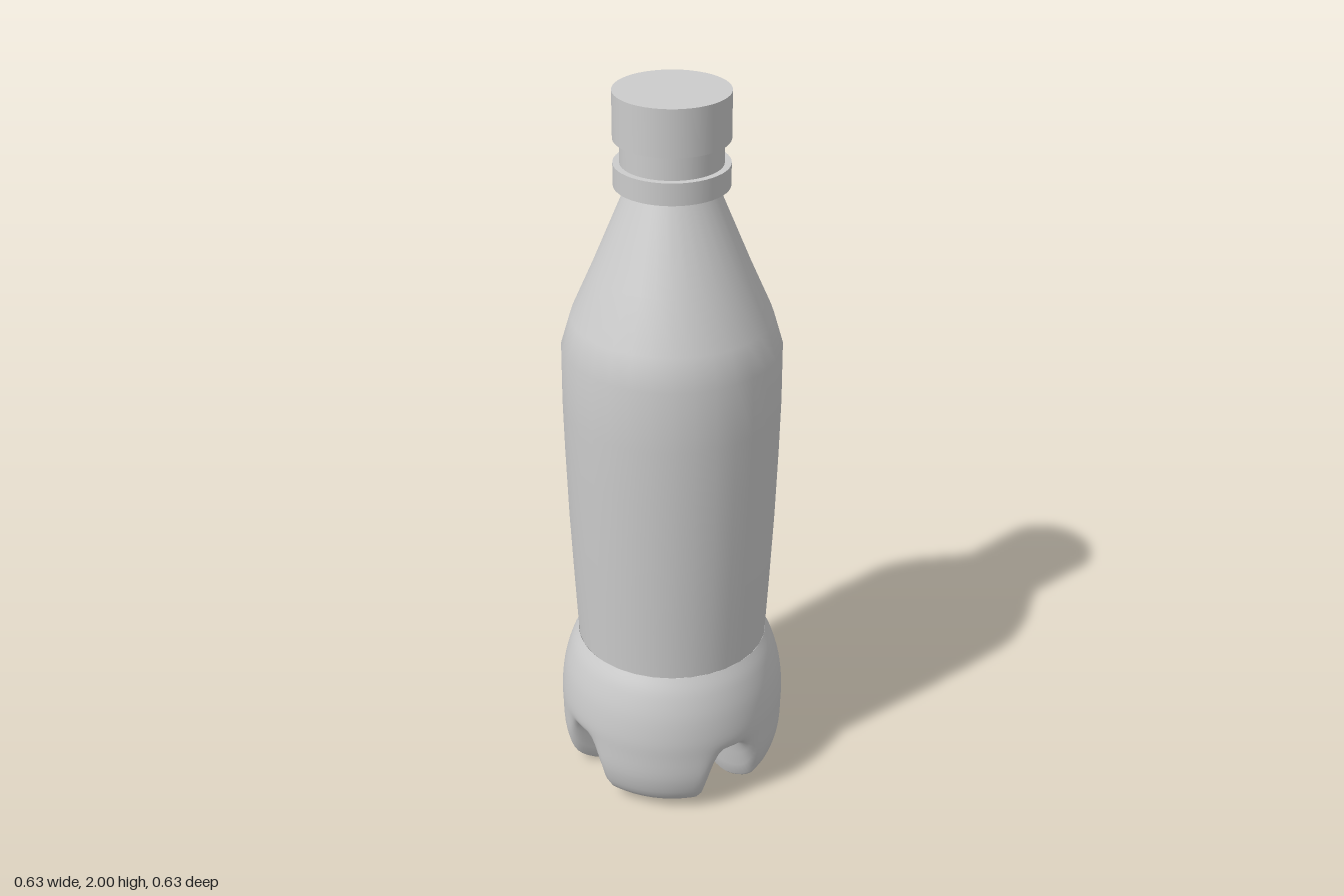
import * as THREE from 'three';

const material = new THREE.MeshStandardMaterial({ color: 0xcccccc, side: THREE.DoubleSide });
const vec = ([x, y]) => new THREE.Vector2(x, y);

function turned(name, profile, segments = 32) {
  const mesh = new THREE.Mesh(new THREE.LatheGeometry(profile.map(vec), segments), material);
  mesh.name = name;
  return mesh;
}

// Straight-sided ring or disc, closed at both ends
function band(name, radius, bottom, top) {
  const mesh = new THREE.Mesh(new THREE.CylinderGeometry(radius, radius, top - bottom, 48), material);
  mesh.position.y = (bottom + top) / 2;
  mesh.name = name;
  return mesh;
}

// Four-footed base: the profile swings between a foot section and a groove section
function footedBase() {
  const foot = [[0.262, 0.44], [0.284, 0.395], [0.303, 0.33], [0.312, 0.26], [0.312, 0.2], [0.306, 0.11],
    [0.275, 0.035], [0.2, 0.002], [0.135, 0.03], [0.07, 0.09], [0, 0.12]].map(vec);
  const groove = [[0.262, 0.44], [0.284, 0.395], [0.303, 0.33], [0.312, 0.26], [0.309, 0.215], [0.29, 0.198],
    [0.25, 0.198], [0.2, 0.195], [0.13, 0.175], [0.07, 0.145], [0, 0.12]].map(vec);
  const around = 128, rows = 44;
  const positions = [], index = [];
  const columns = [];
  for (let j = 0; j < around; j++) {
    const angle = (j / around) * Math.PI * 2;
    // angular distance from the nearest diagonal, where the grooves run
    const quarter = Math.PI / 2;
    const offset = Math.abs((angle % quarter) - quarter / 2);
    const blend = 1 - THREE.MathUtils.smoothstep(offset, 0.08, 0.33);
    const curve = new THREE.SplineCurve(foot.map((p, k) => p.clone().lerp(groove[k], blend)));
    columns.push({ angle, curve });
  }
  for (let i = 0; i <= rows; i++) {
    for (const { angle, curve } of columns) {
      const p = curve.getPoint(i / rows);
      positions.push(Math.sin(angle) * p.x, Math.max(p.y, 0), Math.cos(angle) * p.x);
    }
  }
  for (let i = 0; i < rows; i++) {
    for (let j = 0; j < around; j++) {
      const next = (j + 1) % around;
      const a = i * around + j, b = i * around + next;
      const c = a + around, d = b + around;
      index.push(c, d, b, c, b, a);
    }
  }
  const geometry = new THREE.BufferGeometry();
  geometry.setAttribute('position', new THREE.Float32BufferAttribute(positions, 3));
  geometry.setIndex(index);
  geometry.computeVertexNormals();
  const mesh = new THREE.Mesh(geometry, material);
  mesh.name = 'footedBase';
  return mesh;
}

export function createModel() {
  const bottle = new THREE.Group();
  bottle.name = 'bottle';

  bottle.add(footedBase());

  // Gently swelling wall and tapered shoulder
  bottle.add(turned('body', [[0.262, 0.44], [0.27, 0.6], [0.279, 0.8], [0.285, 1.0], [0.288, 1.15],
    [0.287, 1.32], [0.262, 1.405], [0.205, 1.535], [0.113, 1.757]]));

  // Neck, tamper ring and cap
  bottle.add(band('neck', 0.13, 1.75, 1.88));
  bottle.add(band('neckRing', 0.147, 1.757, 1.815));
  bottle.add(band('cap', 0.147, 1.878, 2));
  return bottle;
}
